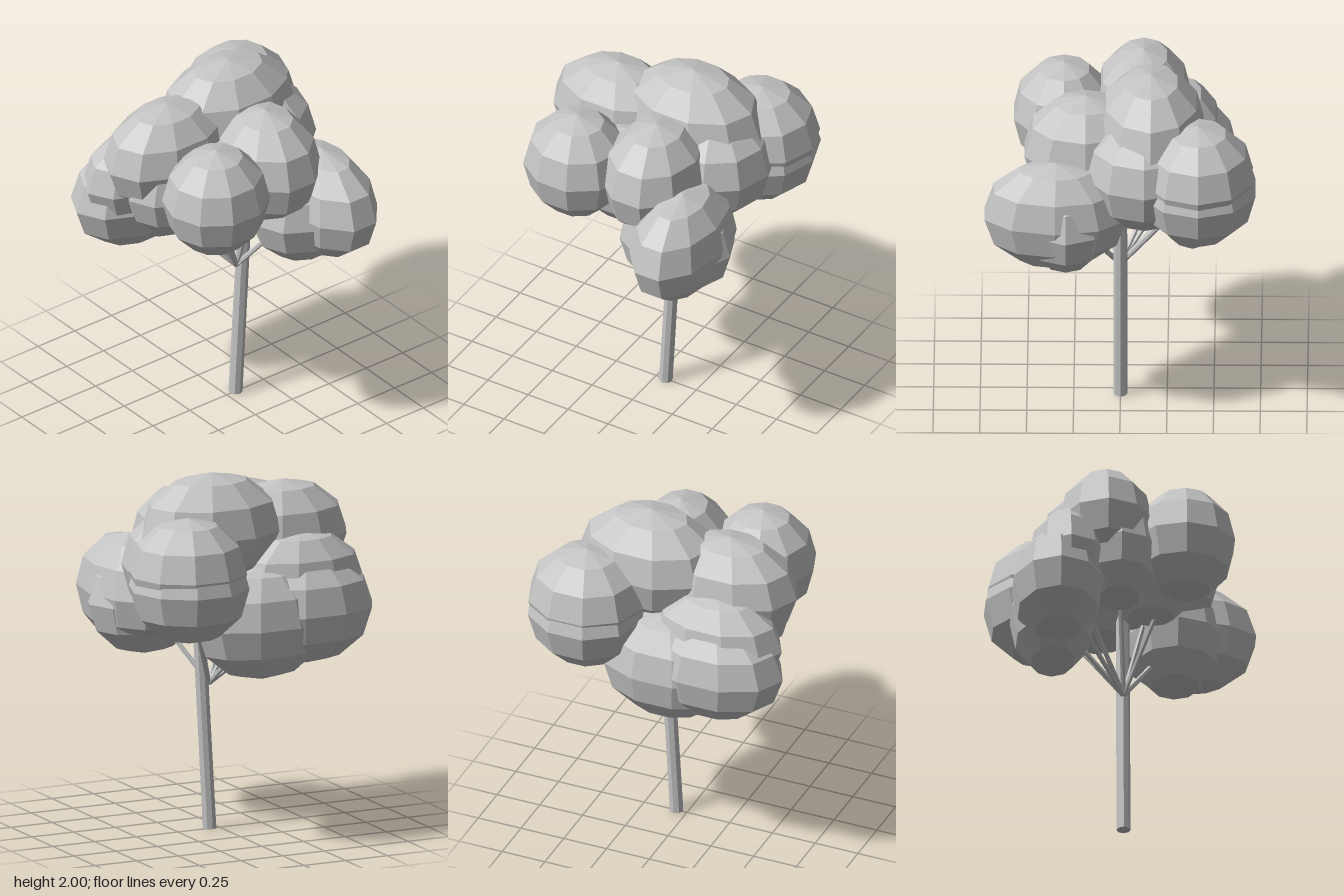
import * as THREE from 'three';

const grey = new THREE.MeshStandardMaterial({ color: 0xc4c4c4, flatShading: true });
grey.name = 'plain grey';

// Ten-sided ellipsoid with a corner on +z and -z; radii are true extents.
function leafClump(name, [x, y, z], [rx, ry, rz]) {
  const g = new THREE.SphereGeometry(1, 10, 6);
  g.rotateY(Math.PI / 2);
  g.scale(rx / Math.cos(Math.PI / 10), ry, rz);
  const m = new THREE.Mesh(g, grey);
  m.name = name;
  m.position.set(x, y, z);
  return m;
}

// Straight tapered stick between two points.
function stick(name, from, to, r0, r1, sides) {
  const a = new THREE.Vector3(...from), b = new THREE.Vector3(...to);
  const d = b.clone().sub(a);
  const m = new THREE.Mesh(new THREE.CylinderGeometry(r1, r0, d.length(), sides), grey);
  m.name = name;
  m.position.copy(a).addScaledVector(d, 0.5);
  m.quaternion.setFromUnitVectors(new THREE.Vector3(0, 1, 0), d.normalize());
  return m;
}

export function createModel() {
  const tree = new THREE.Group();
  tree.name = 'tree';

  // Trunk leaning slightly backwards
  tree.add(stick('trunk', [0, 0.002, -0.06], [0, 1.5, -0.145], 0.038, 0.036, 8));

  // Crown: name, centre, radii, whether a branch reaches it
  const clumps = [
    ['topClump', [-0.165, 1.68, -0.135], [0.28, 0.32, 0.415], false],
    ['frontTopClump', [-0.12, 1.61, 0.31], [0.25, 0.3, 0.385], false],
    ['frontLeftClump', [0.305, 1.52, 0.31], [0.268, 0.31, 0.295], true],
    ['leftTopClump', [0.185, 1.53, -0.115], [0.328, 0.33, 0.28], true],
    ['backLeftClump', [0.345, 1.28, -0.375], [0.38, 0.31, 0.24], false],
    ['backLeftLowClump', [0.29, 1.23, -0.305], [0.25, 0.3, 0.33], true],
    ['backRightClump', [-0.42, 1.53, -0.4], [0.29, 0.3, 0.325], false],
    ['backRightLowClump', [-0.42, 1.45, -0.395], [0.305, 0.31, 0.33], true],
    ['backClump', [-0.13, 1.5, -0.3], [0.31, 0.32, 0.32], false],
    ['frontRightLowClump', [-0.375, 1.25, 0.33], [0.24, 0.3, 0.395], true],
    ['frontRightClump', [-0.32, 1.39, 0.32], [0.215, 0.28, 0.375], true],
    ['rightLowClump', [-0.385, 1.2, 0.06], [0.225, 0.31, 0.39], true],
    ['frontMiddleClump', [-0.045, 1.45, 0.3], [0.215, 0.29, 0.32], true],
    ['innerClump', [0.14, 1.43, 0.11], [0.24, 0.28, 0.25], false],
  ];
  for (const [name, centre, radii, branch] of clumps) {
    tree.add(leafClump(name, centre, radii));
    // Thin branch from the fork to the middle of the clump
    if (branch) tree.add(stick('branch', [0, 0.8, -0.065], centre, 0.014, 0.014, 6));
  }
  return tree;
}
